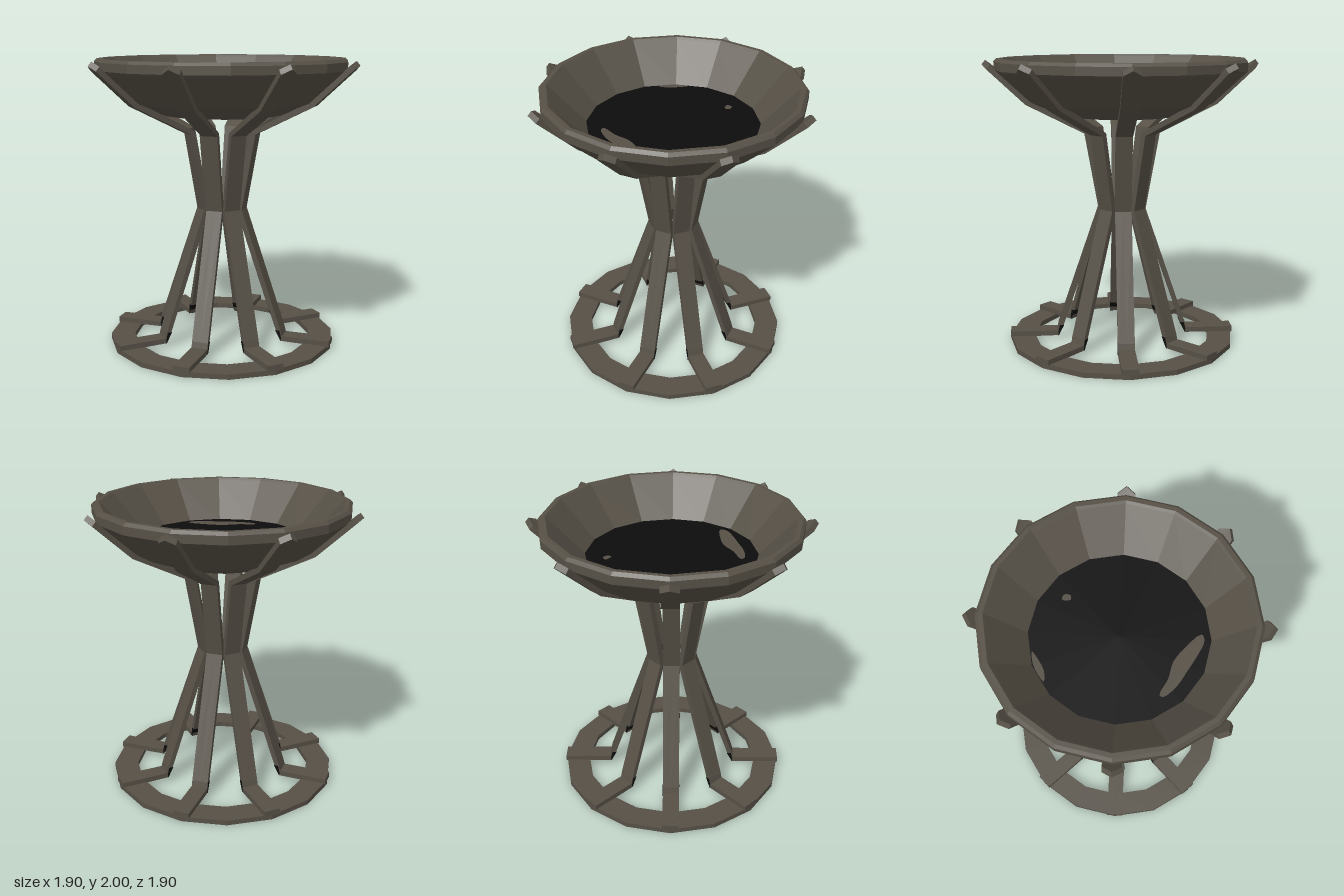
import * as THREE from 'three';

const bronze = new THREE.MeshStandardMaterial({ color: 0x565046 });
bronze.name = 'dark bronze';
const black = new THREE.MeshStandardMaterial({ color: 0x0d0d0d });
black.name = 'soot black';

function flat(geometry) {
  const g = geometry.toNonIndexed();
  g.computeVertexNormals();
  return g;
}

function add(parent, name, geometry, material) {
  const mesh = new THREE.Mesh(geometry, material);
  mesh.name = name;
  parent.add(mesh);
  return mesh;
}

// Faceted turned part from [radius, height] points
function turned(points) {
  return flat(new THREE.LatheGeometry(points.map(p => new THREE.Vector2(...p)), 16));
}

// Bent bar: each station is [outer radius, outer y, inner radius, inner y];
// the last station can come to a point along its centre line
function bentBar(stations, width, point = 0) {
  const last = stations.length - 1;
  const g = new THREE.BoxGeometry(width, last, 1, 2, last, 1);
  const p = g.attributes.position;
  for (let i = 0; i < p.count; i++) {
    const row = Math.round(p.getY(i) + last / 2);
    const s = stations[row];
    let [r, y] = p.getZ(i) > 0 ? [s[0], s[1]] : [s[2], s[3]];
    if (row === last && Math.abs(p.getX(i)) > 0.001) {
      r -= point;
      y -= point * 0.9;
    }
    p.setXYZ(i, p.getX(i), y, r);
  }
  return flat(g);
}

export function createModel() {
  const model = new THREE.Group();
  model.name = 'brazier';

  // Base ring
  add(model, 'baseRing', turned([
    [0.63, 0], [0.8, 0], [0.8, 0.035], [0.63, 0.035], [0.63, 0],
  ]), bronze);

  // Bowl with bevelled rim
  add(model, 'bowl', turned([
    [0, 1.62], [0.42, 1.62], [0.64, 1.71], [0.85, 1.905], [0.87, 1.925],
    [0.87, 1.98], [0.85, 2], [0.82, 2], [0.805, 1.985], [0.565, 1.73], [0, 1.67],
  ]), bronze);

  // Sooty bed inside the bowl
  const bed = new THREE.CircleGeometry(0.575, 16).rotateX(-Math.PI / 2);
  add(model, 'sootBed', bed, black).position.y = 1.74;

  // Bare patches showing through the soot, as [x, z] outlines
  const patches = [
    [[-0.08, 0.45], [0.03, 0.41], [0.13, 0.35], [0.24, 0.33], [0.39, 0.335],
      [0.37, 0.38], [0.27, 0.42], [0.16, 0.45], [0.04, 0.48], [-0.07, 0.475]],
    [[-0.1, -0.43], [-0.07, -0.45], [-0.04, -0.42], [-0.06, -0.395]],
    [[-0.47, -0.29], [-0.475, -0.23], [-0.5, -0.14], [-0.545, -0.09], [-0.525, -0.21]],
  ];
  for (const outline of patches) {
    const curve = new THREE.CatmullRomCurve3(
      outline.map(([x, z]) => new THREE.Vector3(x, -z, 0)), true);
    const shape = new THREE.Shape(curve.getPoints(30).map(v => new THREE.Vector2(v.x, v.y)));
    add(model, 'barePatch', new THREE.ShapeGeometry(shape).rotateX(-Math.PI / 2), bronze)
      .position.y = 1.743;
  }

  // Eight waisted legs, each from foot bar to pointed tip
  const leg = bentBar([
    [0.8, 0.07, 0.8, 0.03],
    [0.465, 0.07, 0.455, 0.035],
    [0.455, 0.11, 0.425, 0.1],
    [0.165, 0.96, 0.125, 0.965],
    [0.26, 1.49, 0.225, 1.51],
    [0.66, 1.69, 0.64, 1.725],
    [0.95, 1.96, 0.925, 1.99],
  ], 0.115, 0.035);
  const ankle = bentBar([
    [0.46, 0.06, 0.458, 0.033],
    [0.448, 0.11, 0.418, 0.11],
  ], 0.119);
  for (let i = 0; i < 8; i++) {
    const group = new THREE.Group();
    group.name = 'legAssembly';
    group.rotation.y = (i * Math.PI) / 4;
    add(group, 'leg', leg, bronze);
    add(group, 'ankle', ankle, black);
    model.add(group);
  }
  return model;
}
